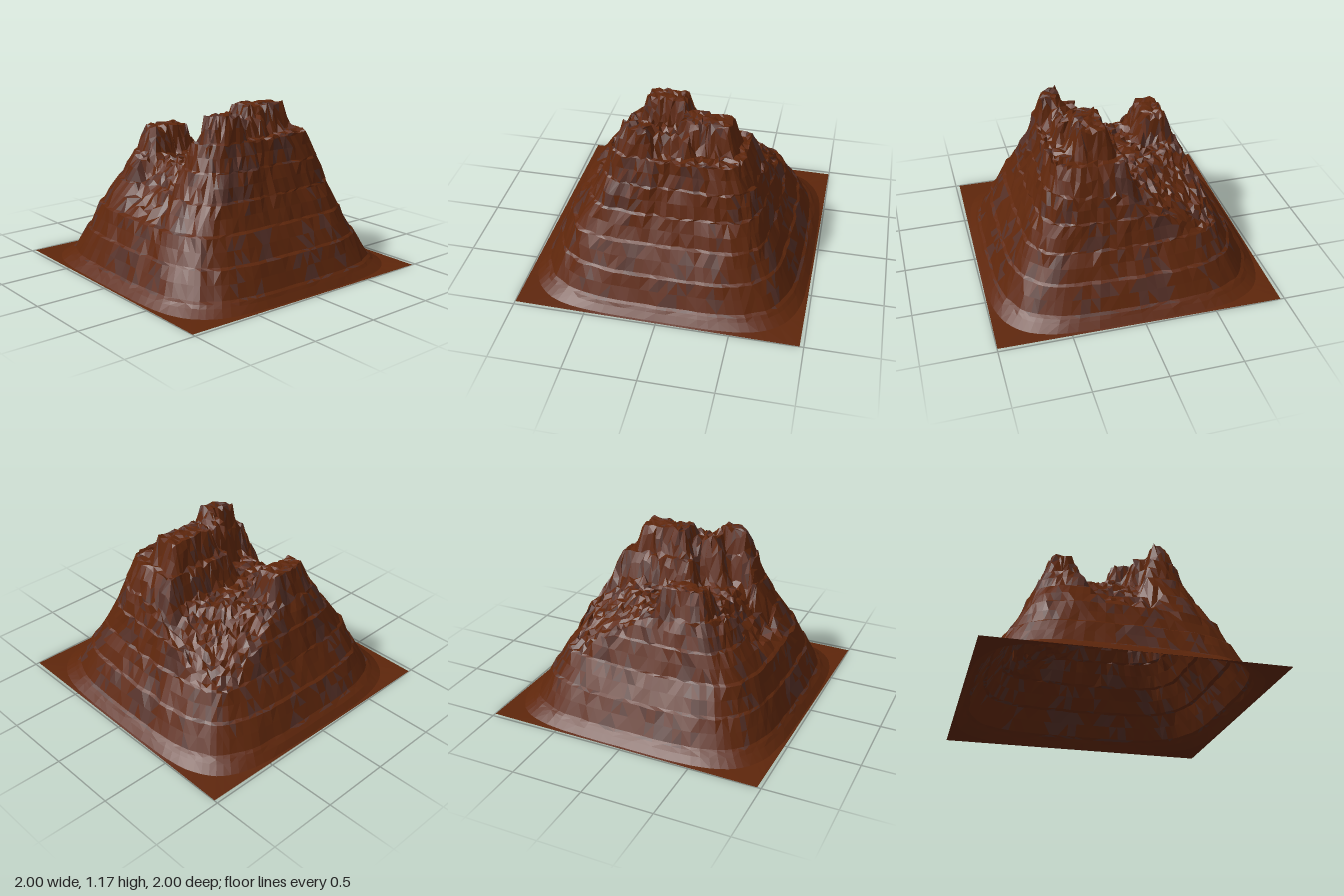
import * as THREE from 'three';

const N = 13, SEG = 8 * N, STEP = 0.18, FOOT = 0.065, LEDGE = 0.18;
// half extents of each terrace edge: [-x, +x, -z, +z], and corner squareness
const EXTENTS = [
  [0.91, 0.915, 0.915, 0.915, 4],
  [0.805, 0.815, 0.81, 0.825, 4],
  [0.685, 0.705, 0.7, 0.735, 4.5],
  [0.605, 0.605, 0.63, 0.605, 5],
  [0.525, 0.54, 0.57, 0.5, 5.5],
  [0.45, 0.475, 0.48, 0.44, 5.5],
  [0.4, 0.43, 0.395, 0.375, 4.5],
];

// repeatable noise in -1..1
function hash(a, b, c = 0) {
  const s = Math.sin(a * 127.1 + b * 311.7 + c * 74.7) * 43758.5453;
  return 2 * (s - Math.floor(s)) - 1;
}

// flat-topped rock with sloping walls
function butte(x, z, x0, x1, z0, z1, top, slope) {
  const dx = Math.max(x0 - x, 0, x - x1), dz = Math.max(z0 - z, 0, z - z1);
  return top - slope * Math.hypot(dx, dz);
}

// summits, the valley between them and its scree slope to the front
function summitHeight(x, z) {
  const scree = 0.775 - 1.1 * THREE.MathUtils.clamp(z - 0.37, 0, 0.25);
  const cutCorner = 0.775 - 0.5 * Math.max(0, -(x + z) - 0.5);
  const leftBank = 0.6 + 2.5 * (-0.2 - x), rightBank = 0.6 + 2.5 * (x - 0.42 * z);
  return Math.max(
    Math.min(scree, cutCorner),
    z > 0.3 ? Math.min(0.775, leftBank) : 0,
    z > 0.1 ? Math.min(0.9, rightBank) : 0,
    butte(x, z, 0.09, 0.27, -0.36, -0.03, 1.165, 3.2),
    butte(x, z, 0.29, 0.42, 0.16, 0.36, 1.155, 3.6),
    butte(x, z, 0.18, 0.36, -0.1, 0.2, 1.09, 3.4),
    butte(x, z, -0.01, 0.5, -0.5, 0.06, 0.97, 3.2),
    butte(x, z, 0.24, 0.5, 0, 0.46, 0.97, 3.2),
    butte(x, z, -0.45, -0.3, 0.07, 0.35, 0.975, 3)
  );
}

// gentle ledge followed by a steep riser within every level
function terrace(level) {
  const n = Math.floor(level), t = level - n;
  const u = t < LEDGE ? 0.4 * t : 0.4 * LEDGE + ((t - LEDGE) / (1 - LEDGE)) * (1 - 0.4 * LEDGE);
  return FOOT + STEP * (n + u);
}

// i-th cell on the border of a square grid with half size k
function squareCell(i, k) {
  const side = Math.floor(i / (2 * k)), t = (i % (2 * k)) - k;
  return [[k, t], [-t, k], [-k, -t], [t, -k]][side];
}

// point in the direction (u, v) on a rounded square
function ringPoint(u, v, [xn, xp, zn, zp, p]) {
  const r = p === Infinity
    ? 1 / Math.max(Math.abs(u), Math.abs(v))
    : Math.pow(Math.abs(u) ** p + Math.abs(v) ** p, -1 / p);
  return [r * u * (u > 0 ? xp : xn), r * v * (v > 0 ? zp : zn)];
}

// height of a rock vertex, limited by its terrace level
function rockHeight(x, z, level, noise) {
  const inner = (summitHeight(x, z) + 0.022 * noise - FOOT) / STEP;
  return Math.min(terrace(Math.min(inner, level)), 1.168);
}

// rings from the ground sheet up to the highest terrace edge
function buildRings() {
  const rings = [];
  const add = (extents, wobble, height) => {
    const k = rings.length;
    rings.push(Array.from({ length: SEG }, (_, i) => {
      const [u, v] = squareCell(i, N);
      const [x, z] = ringPoint(u, v, extents);
      // neighbouring rings share part of their wobble, so risers stay upright
      const w = 1 + wobble * (0.6 * hash(Math.floor(i / 2), Math.floor(k / 3)) + 0.5 * hash(i, k, 3));
      return new THREE.Vector3(x * w, height(x * w, z * w, hash(i, k, 7)), z * w);
    }));
  };
  const square = (s, p) => [s, s, s, s, p];
  add(square(0.985, Infinity), 0, () => 0);
  add(square(0.972, 4.5), 0.002, () => 0.004);
  add(square(0.935, 4), 0.003, () => 0.045);
  for (let n = 0; n < 6; n++) {
    for (const t of [0, LEDGE, 0.6]) {
      const e = EXTENTS[n].map((v, j) => v + (EXTENTS[n + 1][j] - v) * t);
      add(e, 0.006 + n * 0.006, (x, z, noise) => rockHeight(x, z, n + t, noise));
    }
  }
  add(EXTENTS[6], 0.04, (x, z, noise) => rockHeight(x, z, 6, noise));
  return rings;
}

// broken ground of the top: a square grid rounded to meet the last ring
function buildTop(rim) {
  const grid = new Map();
  const key = (u, v) => u * 100 + v;
  grid.set(key(0, 0), new THREE.Vector3(0, rockHeight(0, 0, 9, 0), 0));
  for (let k = 1; k <= N; k++) {
    const s = k / N;
    const extents = EXTENTS[6].map((v, j) => (j < 4 ? v * s : 3 + (v - 3) * s));
    for (let i = 0; i < 8 * k; i++) {
      const [u, v] = squareCell(i, k);
      if (k === N) {
        grid.set(key(u, v), rim[i]);
        continue;
      }
      const [px, pz] = ringPoint(u, v, extents);
      const x = px + 0.011 * hash(u, v, 1), z = pz + 0.011 * hash(u, v, 2);
      grid.set(key(u, v), new THREE.Vector3(x, rockHeight(x, z, 9, hash(u, v, 7)), z));
    }
  }
  return (u, v) => grid.get(key(u, v));
}

function rockMesh(name, color, positions) {
  const geometry = new THREE.BufferGeometry();
  geometry.setAttribute('position', new THREE.Float32BufferAttribute(positions, 3));
  geometry.computeVertexNormals();
  const material = new THREE.MeshStandardMaterial({ color, flatShading: true, side: THREE.DoubleSide });
  const mesh = new THREE.Mesh(geometry, material);
  mesh.name = name;
  return mesh;
}

export function createModel() {
  const group = new THREE.Group();
  group.name = 'terracedMountain';
  const ground = [], rock = [], paleRock = [];
  const tri = (list, ...corners) => corners.forEach((c) => list.push(c.x, c.y, c.z));
  // four corners, split along varied diagonals; scattered greyer faces
  const quad = (a, b, c, d, i, k, base) => {
    const pick = (n) => {
      const patch = hash(Math.floor((i + n) / 2), Math.floor(k / 3), 5) + 0.6 * hash(i, k, 9 + n);
      return base === rock && patch > 0.6 ? paleRock : base;
    };
    if (hash(i, k, 4) > 0) {
      tri(pick(0), a, d, b);
      tri(pick(1), b, d, c);
    } else {
      tri(pick(0), a, d, c);
      tri(pick(1), a, c, b);
    }
  };

  const rings = buildRings();
  for (let k = 0; k < rings.length - 1; k++) {
    for (let i = 0; i < SEG; i++) {
      const j = (i + 1) % SEG;
      quad(rings[k][i], rings[k][j], rings[k + 1][j], rings[k + 1][i], i, k, k < 3 ? ground : rock);
    }
  }
  const top = buildTop(rings[rings.length - 1]);
  for (let u = -N; u < N; u++) {
    for (let v = -N; v < N; v++) {
      quad(top(u + 1, v), top(u + 1, v + 1), top(u, v + 1), top(u, v), u + 60, v + 80, rock);
    }
  }

  group.add(
    rockMesh('groundSheet', 0x5e260b, ground),
    rockMesh('rockTerraces', 0x5e260b, rock),
    rockMesh('paleRockPatches', 0x542f26, paleRock)
  );
  // slight turn of the whole block
  group.rotation.y = -0.013;
  return group;
}
